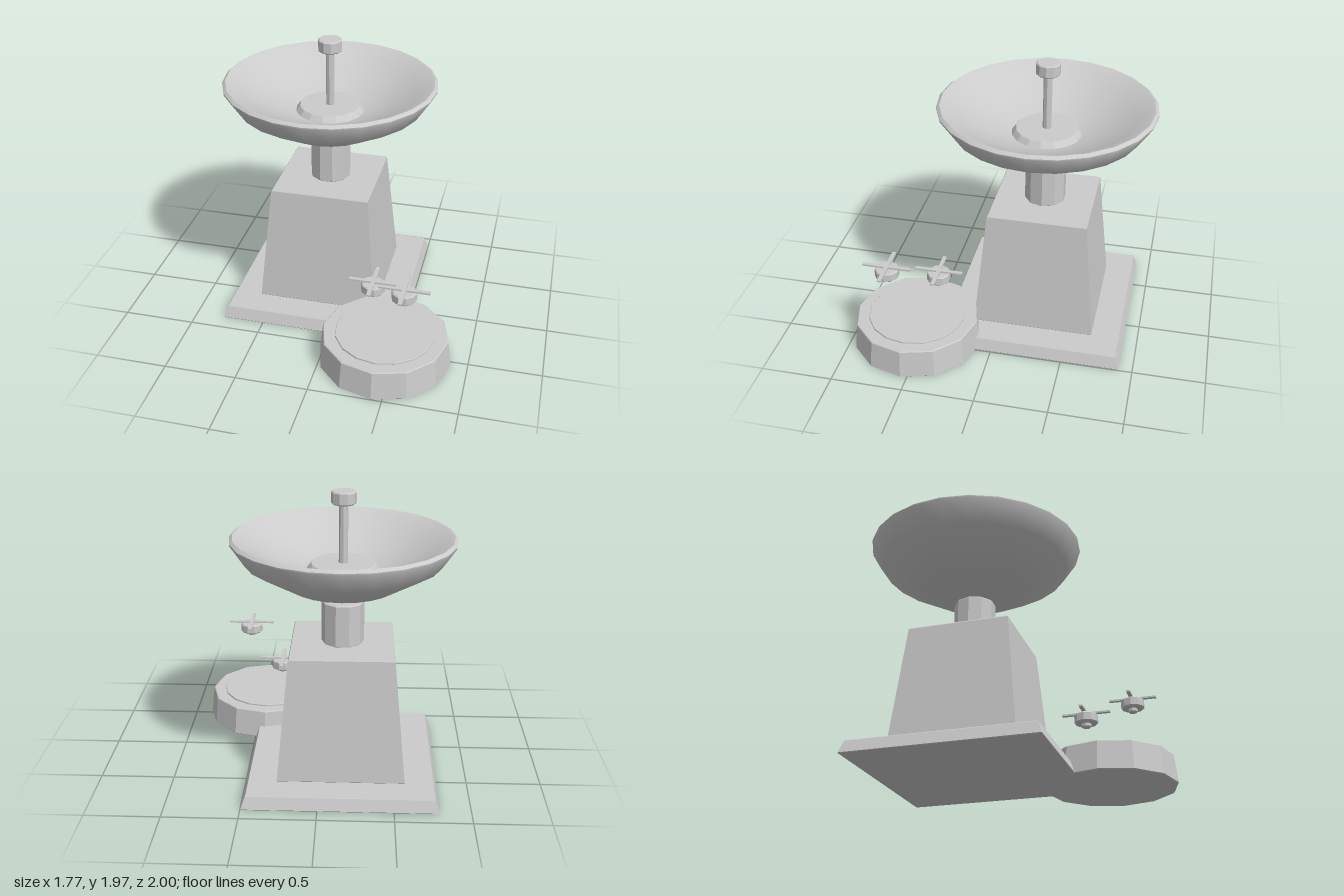
import * as THREE from 'three';
import { toCreasedNormals } from 'three/addons/utils/BufferGeometryUtils.js';

const flat = new THREE.MeshStandardMaterial({ color: 0xcccccc, flatShading: true });
const smooth = new THREE.MeshStandardMaterial({ color: 0xcccccc });

// Lathe of [radius, y] pairs, listed from the bottom up
function turned(profile, sides) {
  return new THREE.LatheGeometry(profile.map(([r, y]) => new THREE.Vector2(r, y)), sides);
}

function add(parent, name, geometry, material = flat) {
  const mesh = new THREE.Mesh(geometry, material);
  mesh.name = name;
  parent.add(mesh);
  return mesh;
}

// Faceted solid with one corner on the x axis and small bevels at both ends
function prism(parent, name, sides, r0, r1, y0, y1, bevel = 0.006) {
  const profile = [[0, y0], [r0 - bevel, y0], [r0, y0 + bevel], [r1, y1 - bevel], [r1 - bevel, y1], [0, y1]];
  return add(parent, name, turned(profile, sides).rotateY(Math.PI / 2));
}

// Square tapered block, given by its half widths
function block(parent, name, h0, h1, y0, y1, bevel) {
  const mesh = prism(parent, name, 4, h0 * Math.SQRT2, h1 * Math.SQRT2, y0, y1, bevel);
  mesh.geometry.rotateY(Math.PI / 4);
  return mesh;
}

function createDrone(x, y, z) {
  const drone = new THREE.Group();
  drone.name = 'drone';
  drone.position.set(x, y, z);
  prism(drone, 'droneBody', 10, 0.083, 0.083, -0.075, -0.007, 0.008);
  prism(drone, 'droneSensor', 8, 0.034, 0.034, -0.102, -0.07, 0.006);
  // Two crossed rotor bars
  for (const turn of [0, Math.PI / 2]) {
    const bar = add(drone, 'rotorBar', new THREE.BoxGeometry(0.338, 0.012, 0.027));
    bar.rotation.y = turn;
  }
  return drone;
}

export function createModel() {
  const model = new THREE.Group();

  // Tower with its dish
  const tower = new THREE.Group();
  tower.name = 'tower';
  tower.position.set(-0.148, 0, -0.257);
  model.add(tower);
  block(tower, 'basePlate', 0.644, 0.617, 0, 0.09, 0.005);
  block(tower, 'towerBody', 0.425, 0.345, 0.085, 0.94, 0.008);
  prism(tower, 'column', 10, 0.143, 0.143, 0.935, 1.23, 0.008);

  // Dish: outer shell, rolled rim, shallow bowl
  const dish = turned([
    [0, 1.222], [0.06, 1.225], [0.36, 1.335], [0.65, 1.505], [0.742, 1.643], [0.743, 1.655],
    [0.722, 1.672], [0.7, 1.665], [0.6, 1.605], [0.45, 1.53], [0.25, 1.45], [0, 1.44],
  ], 24);
  add(tower, 'dish', toCreasedNormals(dish, 0.7), smooth);
  prism(tower, 'dishHub', 16, 0.252, 0.215, 1.43, 1.488, 0.004);
  prism(tower, 'mast', 8, 0.03, 0.03, 1.47, 1.885, 0.001);
  prism(tower, 'receiver', 10, 0.083, 0.083, 1.88, 1.965, 0.008);

  // Landing pad
  const pad = new THREE.Group();
  pad.name = 'landingPad';
  pad.position.set(0.428, 0, 0.545);
  model.add(pad);
  prism(pad, 'padBase', 12, 0.455, 0.434, 0, 0.205, 0.006);
  prism(pad, 'padDeck', 16, 0.342, 0.342, 0.2, 0.217, 0.003);

  // Hovering drones
  model.add(createDrone(0.312, 0.513, 0.41), createDrone(0.573, 0.688, 0.695));
  return model;
}
